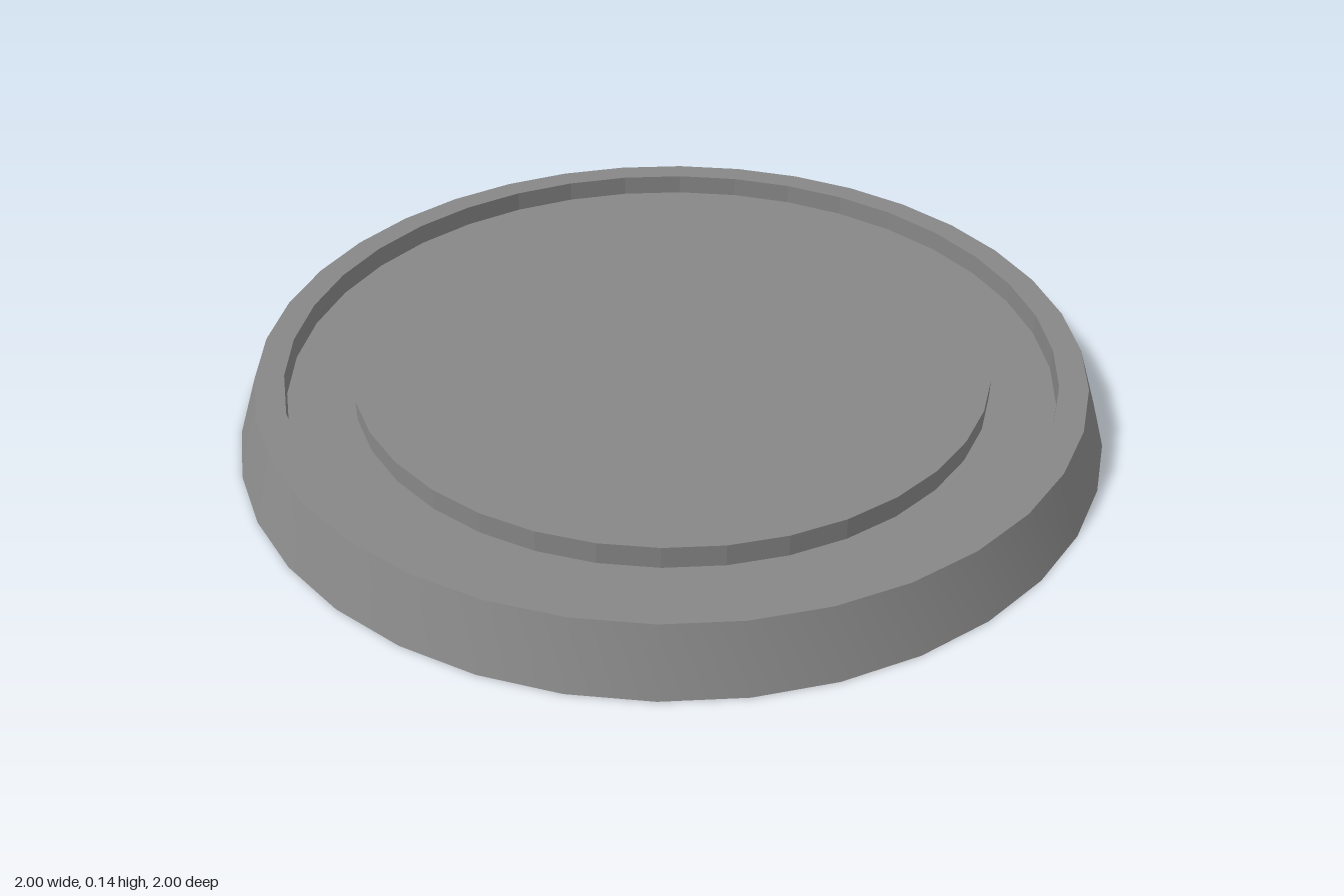
import * as THREE from 'three';
import { toCreasedNormals } from 'three/addons/utils/BufferGeometryUtils.js';

const SEGMENTS = 36;
const COLOR = 0x878787;
const HEIGHT = 0.145, FLOOR = 0.095;
const BASE_R = 1, RIM_R = 0.95, GROOVE_OUTER_R = 0.885, GROOVE_INNER_R = 0.735;

// Turns a profile of [radius, height] points into a named mesh
function turned(name, points, creaseAngle) {
  const profile = points.map(([r, y]) => new THREE.Vector2(r, y));
  const geometry = toCreasedNormals(new THREE.LatheGeometry(profile, SEGMENTS), creaseAngle);
  const mesh = new THREE.Mesh(geometry, new THREE.MeshStandardMaterial({ color: COLOR }));
  mesh.name = name;
  return mesh;
}

export function createModel() {
  const group = new THREE.Group();
  group.name = 'roundBase';

  // Underside and sloped outer side, smooth around the edge
  group.add(turned('outerBody', [[0, 0], [BASE_R, 0], [RIM_R, HEIGHT]], Math.PI / 6));

  // Rim, recessed groove and raised centre, with faceted groove walls
  group.add(turned('groovedTop', [
    [RIM_R, HEIGHT],
    [GROOVE_OUTER_R, HEIGHT],
    [GROOVE_OUTER_R, FLOOR],
    [GROOVE_INNER_R, FLOOR],
    [GROOVE_INNER_R, HEIGHT],
    [0, HEIGHT],
  ], Math.PI / 36));

  return group;
}
